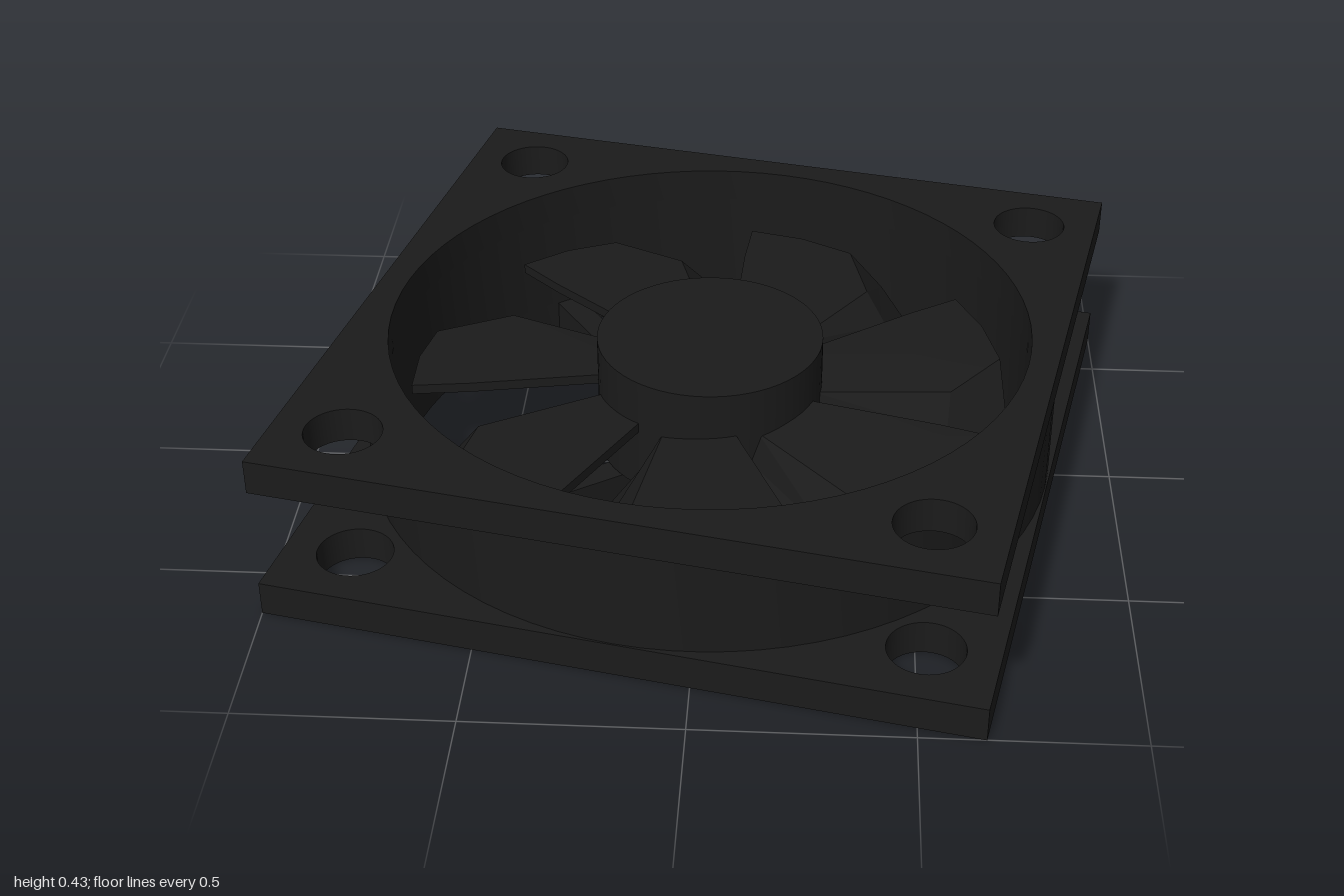
import * as THREE from 'three';
import { toCreasedNormals } from 'three/addons/utils/BufferGeometryUtils.js';

const HEIGHT = 0.425, FLANGE = 0.085, HALF = 0.8435, BORE = 0.775;
const DEG = Math.PI / 180;

function circle(x, y, r) {
  return new THREE.Path().absarc(x, y, r, 0, Math.PI * 2, true);
}

// Extrudes a plan shape upwards, keeping round walls smooth
function extrudeUp(shape, height) {
  const g = new THREE.ExtrudeGeometry(shape, { depth: height, bevelEnabled: false, curveSegments: 40 });
  g.rotateX(-Math.PI / 2);
  return toCreasedNormals(g, 0.6);
}

function flangeGeometry() {
  const s = new THREE.Shape([[-1, -1], [1, -1], [1, 1], [-1, 1]].map(([x, y]) => new THREE.Vector2(x * HALF, y * HALF)));
  s.holes.push(circle(0, 0, BORE));
  for (const x of [-0.675, 0.675]) for (const y of [-0.675, 0.675]) s.holes.push(circle(x, y, 0.09));
  return extrudeUp(s, FLANGE);
}

// Blade: three radial rows, swept and folded down towards the trailing side
function bladeGeometry() {
  const rows = [
    { r: 0.26, a: [80, 60, 42, 36, 29] },
    { r: 0.59, a: [84, 66, 49, 42, 34] },
    { r: 0.73, a: [84, 73, 62, 54, 47] },
  ];
  const heights = [0.27, 0.265, 0.255, 0.185, 0.11];
  const thick = 0.025, n = heights.length, layer = rows.length * n;
  const pos = [], idx = [];
  for (const drop of [0, thick])
    for (const { r, a } of rows)
      a.forEach((deg, i) => pos.push(r * Math.cos(deg * DEG), heights[i] - drop, -r * Math.sin(deg * DEG)));
  const quad = (a, b, c, d) => idx.push(a, b, c, a, c, d);
  for (let j = 0; j < rows.length - 1; j++)
    for (let i = 0; i < n - 1; i++) {
      const a = j * n + i, b = a + 1, c = b + n, d = a + n;
      quad(a, b, c, d);
      quad(a + layer, d + layer, c + layer, b + layer);
    }
  // Rim joining the upper and lower skins
  const rim = [];
  for (let i = 0; i < n; i++) rim.push(i);
  rim.push(2 * n - 1);
  for (let i = n - 1; i >= 0; i--) rim.push(2 * n + i);
  rim.push(n);
  rim.forEach((a, k) => {
    const b = rim[(k + 1) % rim.length];
    quad(a, a + layer, b + layer, b);
  });
  const g = new THREE.BufferGeometry();
  g.setAttribute('position', new THREE.Float32BufferAttribute(pos, 3));
  g.setIndex(idx);
  return toCreasedNormals(g, 0.2);
}

export function createModel() {
  const black = new THREE.MeshStandardMaterial({ color: 0x1b1b1b });
  black.name = 'black plastic';
  const model = new THREE.Group();
  model.name = 'coolingFan';
  const add = (parent, name, geometry, y = 0, turn = 0) => {
    const m = new THREE.Mesh(geometry, black);
    m.name = name;
    m.position.y = y;
    m.rotation.y = turn;
    parent.add(m);
  };

  // Housing, turned slightly about the vertical
  const housing = new THREE.Group();
  housing.name = 'housing';
  housing.rotation.y = -12 * DEG;
  model.add(housing);
  const flange = flangeGeometry();
  add(housing, 'lowerFlange', flange);
  add(housing, 'upperFlange', flange, HEIGHT - FLANGE);
  const ring = new THREE.Shape().absarc(0, 0, 0.84, 0, Math.PI * 2, false);
  ring.holes.push(circle(0, 0, BORE));
  add(housing, 'duct', extrudeUp(ring, HEIGHT - 2 * FLANGE), FLANGE);

  // Crossed support struts under the rotor
  const strut = new THREE.BoxGeometry(2 * BORE + 0.01, 0.08, 0.065);
  for (const turn of [45, 135]) add(housing, 'strut', strut, 0.042, turn * DEG);

  // Rotor with seven blades
  const rotor = new THREE.Group();
  rotor.name = 'rotor';
  model.add(rotor);
  add(rotor, 'hub', new THREE.CylinderGeometry(0.275, 0.275, 0.295, 64), 0.2375);
  const blade = bladeGeometry();
  for (let i = 0; i < 7; i++) add(rotor, 'blade', blade, 0, (i * Math.PI * 2) / 7);

  return model;
}
